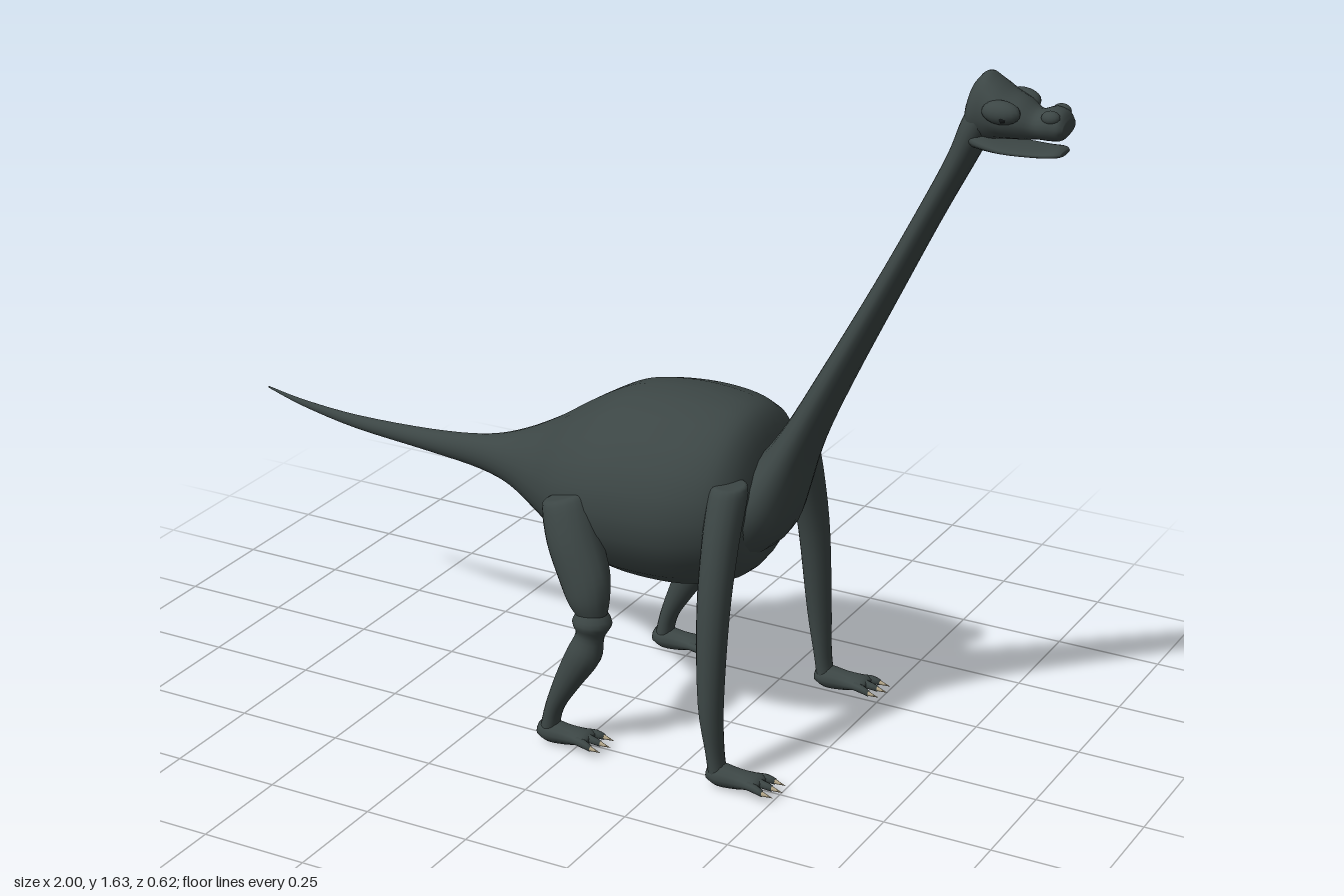
import * as THREE from 'three';

const skin = new THREE.MeshStandardMaterial({ color: 0x3c4645 });
skin.name = 'slate skin';
const horn = new THREE.MeshStandardMaterial({ color: 0xb9ab8c });
horn.name = 'pale claw';
const dark = new THREE.MeshStandardMaterial({ color: 0x15191a });
dark.name = 'dark eye';

// Smooth skin over elliptical rings: [x, y, z, in-plane radius, z radius, ring tilt in degrees].
// Tilt 90 is an upright ring (path along +x), tilt 0 a level ring (path going down).
function loft(name, rings, sides = 20, steps = 4) {
  const at = (i) => rings[Math.min(Math.max(i, 0), rings.length - 1)];
  const rows = [];
  for (let i = 0; i < rings.length - 1; i++) {
    for (let s = 0; s < steps; s++) {
      const t = s / steps;
      rows.push(rings[i].map((b, k) => {
        const a = at(i - 1)[k], c = at(i + 1)[k], d = at(i + 2)[k];
        return 0.5 * (2 * b + (c - a) * t + (2 * a - 5 * b + 4 * c - d) * t * t
          + (3 * b - a - 3 * c + d) * t * t * t);
      }));
    }
  }
  rows.push(rings[rings.length - 1]);
  const pos = [], idx = [];
  for (const [x, y, z, a, w, tilt] of rows) {
    const A = THREE.MathUtils.degToRad(tilt);
    for (let j = 0; j < sides; j++) {
      const t = (j / sides) * Math.PI * 2;
      const u = Math.max(a, 0.001) * Math.cos(t);
      pos.push(x + u * Math.cos(A), y + u * Math.sin(A), z + Math.max(w, 0.001) * Math.sin(t));
    }
  }
  const last = rows.length - 1;
  for (let i = 0; i < last; i++) {
    for (let j = 0; j < sides; j++) {
      const k = (j + 1) % sides, p = i * sides, q = p + sides;
      idx.push(p + j, p + k, q + j, p + k, q + k, q + j);
    }
  }
  // End caps
  const c0 = pos.length / 3;
  pos.push(...rows[0].slice(0, 3), ...rows[last].slice(0, 3));
  for (let j = 0; j < sides; j++) {
    const k = (j + 1) % sides;
    idx.push(c0, k, j, c0 + 1, last * sides + j, last * sides + k);
  }
  const geo = new THREE.BufferGeometry();
  geo.setAttribute('position', new THREE.Float32BufferAttribute(pos, 3));
  geo.setIndex(idx);
  geo.computeVertexNormals();
  const mesh = new THREE.Mesh(geo, skin);
  mesh.name = name;
  return mesh;
}

// Upright ring from its top and bottom heights
const slice = ([x, top, bottom, w]) => [x, (top + bottom) / 2, 0, (top - bottom) / 2, w, 90];

function ball(name, mat, x, y, z, rx, ry, rz) {
  const m = new THREE.Mesh(new THREE.SphereGeometry(1, 16, 12), mat);
  m.name = name;
  m.position.set(x, y, z);
  m.scale.set(rx, ry, rz);
  return m;
}

// Foot with three clawed toes; x is the heel
function foot(x, z) {
  const g = new THREE.Group();
  g.name = 'foot';
  g.add(loft('sole', [
    [x, 0.028, z, 0.018, 0.022, 90],
    [x + 0.025, 0.026, z, 0.026, 0.03, 90],
    [x + 0.07, 0.025, z, 0.022, 0.027, 90],
    [x + 0.115, 0.029, z, 0.013, 0.034, 90],
    [x + 0.128, 0.027, z, 0.006, 0.028, 90],
  ], 12, 3));
  for (const k of [-1, 0, 1]) {
    const reach = k ? 0.145 : 0.153;
    g.add(loft('toe', [
      [x + 0.095, 0.028, z + k * 0.02, 0.01, 0.01, 90],
      [x + 0.125, 0.028, z + k * 0.028, 0.01, 0.01, 90],
      [x + reach, 0.023, z + k * 0.032, 0.007, 0.007, 90],
    ], 8, 2));
    const claw = new THREE.Mesh(new THREE.ConeGeometry(0.006, 0.03, 8), horn);
    claw.name = 'claw';
    claw.rotation.z = -Math.PI / 2 - 0.15;
    claw.position.set(x + reach + 0.012, 0.021, z + k * 0.032);
    g.add(claw);
  }
  return g;
}

export function createModel() {
  const model = new THREE.Group();
  model.name = 'longNeckedDinosaur';

  // Tail and barrel body: x, top, bottom, half width
  model.add(loft('bodyAndTail', [
    [-1, 0.586, 0.582, 0.002], [-0.9, 0.57, 0.554, 0.007], [-0.75, 0.56, 0.528, 0.014],
    [-0.55, 0.565, 0.512, 0.024], [-0.4, 0.582, 0.497, 0.036], [-0.3, 0.613, 0.474, 0.072],
    [-0.2, 0.665, 0.43, 0.135], [-0.1, 0.731, 0.385, 0.205], [0, 0.784, 0.36, 0.245],
    [0.1, 0.802, 0.353, 0.255], [0.2, 0.803, 0.36, 0.25], [0.28, 0.79, 0.385, 0.225],
    [0.32, 0.755, 0.415, 0.195], [0.343, 0.69, 0.46, 0.155], [0.355, 0.63, 0.52, 0.08],
  ].map(slice), 24));

  // Flattened neck flowing out of the chest
  model.add(loft('neck', [
    [0.25, 0.54, 0, 0.12, 0.19, 110], [0.32, 0.575, 0, 0.1, 0.155, 125],
    [0.365, 0.635, 0, 0.068, 0.112, 145], [0.42, 0.745, 0, 0.044, 0.085, 154],
    [0.5, 0.905, 0, 0.034, 0.072, 154], [0.61, 1.12, 0, 0.028, 0.058, 154],
    [0.7, 1.3, 0, 0.026, 0.05, 154], [0.765, 1.43, 0, 0.028, 0.047, 154],
    [0.8, 1.51, 0, 0.034, 0.048, 148], [0.83, 1.56, 0, 0.035, 0.045, 125],
  ]));

  // Head
  const head = new THREE.Group();
  head.name = 'head';
  head.add(loft('skull', [
    [0.782, 1.57, 1.5, 0.03], [0.795, 1.605, 1.485, 0.046], [0.82, 1.63, 1.485, 0.054],
    [0.845, 1.618, 1.49, 0.062], [0.875, 1.597, 1.495, 0.064], [0.905, 1.583, 1.498, 0.056],
    [0.935, 1.565, 1.502, 0.043], [0.965, 1.574, 1.503, 0.046], [0.988, 1.568, 1.507, 0.044],
    [0.999, 1.55, 1.52, 0.034],
  ].map(slice)));
  head.add(loft('lowerJaw', [
    [0.785, 1.515, 1.475, 0.035], [0.81, 1.505, 1.467, 0.05], [0.87, 1.488, 1.466, 0.055],
    [0.94, 1.486, 1.468, 0.047], [0.98, 1.489, 1.471, 0.038], [0.993, 1.484, 1.475, 0.025],
  ].map(slice)));
  for (const s of [1, -1]) {
    head.add(ball('brow', skin, 0.872, 1.562, s * 0.055, 0.042, 0.025, 0.024));
    head.add(ball('eye', dark, 0.882, 1.553, s * 0.067, 0.01, 0.009, 0.011));
    head.add(ball('nostril', skin, 0.97, 1.558, s * 0.03, 0.02, 0.015, 0.016));
  }
  model.add(head);

  for (const s of [1, -1]) {
    // Straight front leg
    const front = new THREE.Group();
    front.name = 'frontLeg';
    front.add(loft('frontLimb', [
      [0.325, 0.672, s * 0.165, 0.03, 0.035, 0], [0.325, 0.655, s * 0.172, 0.042, 0.048, 0],
      [0.327, 0.55, s * 0.212, 0.04, 0.046, 0], [0.331, 0.4, s * 0.25, 0.036, 0.039, 0],
      [0.338, 0.2, s * 0.271, 0.028, 0.034, 0], [0.35, 0.08, s * 0.272, 0.019, 0.028, 0],
      [0.358, 0.025, s * 0.272, 0.02, 0.026, 0],
    ], 16));
    front.add(foot(0.338, s * 0.272));
    model.add(front);

    // Hind leg with heavy thigh, knobbed knee and slanted shin
    const hind = new THREE.Group();
    hind.name = 'hindLeg';
    hind.add(loft('thigh', [
      [-0.057, 0.587, s * 0.215, 0.045, 0.035, 20], [-0.053, 0.575, s * 0.217, 0.06, 0.053, 20],
      [-0.025, 0.5, s * 0.237, 0.064, 0.056, 20], [0.012, 0.42, s * 0.253, 0.061, 0.05, 20],
      [0.028, 0.37, s * 0.262, 0.05, 0.042, 15], [0.036, 0.335, s * 0.264, 0.036, 0.03, 5],
    ], 16));
    hind.add(loft('shin', [
      [0.036, 0.35, s * 0.264, 0.028, 0.026, 0], [0.037, 0.318, s * 0.264, 0.046, 0.042, 0],
      [0.032, 0.285, s * 0.265, 0.033, 0.03, -8], [0.018, 0.235, s * 0.268, 0.04, 0.037, -18],
      [-0.02, 0.165, s * 0.271, 0.031, 0.032, -22], [-0.056, 0.09, s * 0.272, 0.021, 0.026, -15],
      [-0.07, 0.03, s * 0.272, 0.021, 0.025, 0],
    ], 16));
    hind.add(foot(-0.092, s * 0.272));
    model.add(hind);
  }
  return model;
}
